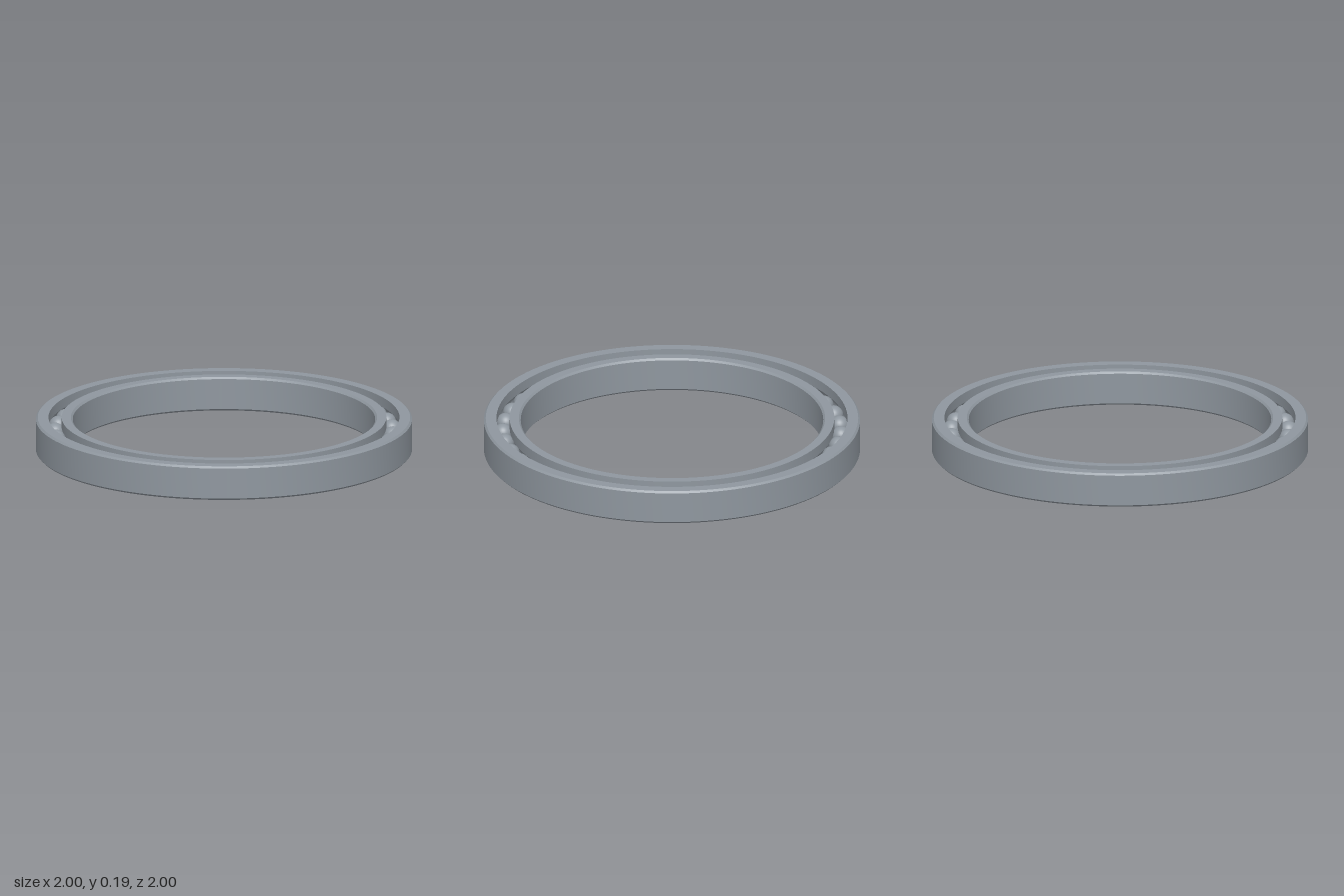
import * as THREE from 'three';
import { toCreasedNormals } from 'three/addons/utils/BufferGeometryUtils.js';

const HEIGHT = 0.185, MID = HEIGHT / 2, BEVEL = 0.01;
const PITCH_R = 0.898, BALL_R = 0.051, BALLS = 40;

// Ring with bevelled plain wall at rPlain and a ball groove in the wall at rRace.
function ringGeometry(rPlain, rRace) {
  const dir = Math.sign(rPlain - rRace); // +1: plain wall faces outwards
  const pts = [
    [rPlain - dir * BEVEL, 0],
    [rPlain, BEVEL],
    [rPlain, HEIGHT - BEVEL],
    [rPlain - dir * BEVEL, HEIGHT],
    [rRace, HEIGHT],
  ];
  // groove arc, concentric with the balls
  const grooveR = BALL_R + 0.001;
  const a = Math.acos(Math.abs(rRace - PITCH_R) / grooveR);
  for (let i = 0; i <= 12; i++) {
    const t = a - (2 * a * i) / 12;
    pts.push([PITCH_R + dir * grooveR * Math.cos(t), MID + grooveR * Math.sin(t)]);
  }
  pts.push([rRace, 0], pts[0]);
  if (dir < 0) pts.reverse();
  const profile = pts.map(([x, y]) => new THREE.Vector2(x, y));
  return toCreasedNormals(new THREE.LatheGeometry(profile, 128), 0.5);
}

export function createModel() {
  const group = new THREE.Group();
  group.name = 'ballBearing';
  const steel = new THREE.MeshStandardMaterial({ color: 0x8f979f });
  steel.name = 'steel';

  // races
  const outer = new THREE.Mesh(ringGeometry(1, 0.933), steel);
  outer.name = 'outerRing';
  const inner = new THREE.Mesh(ringGeometry(0.804, 0.863), steel);
  inner.name = 'innerRing';
  group.add(outer, inner);

  // balls
  const balls = new THREE.Group();
  balls.name = 'balls';
  const ballGeo = new THREE.SphereGeometry(BALL_R, 32, 20);
  for (let i = 0; i < BALLS; i++) {
    const a = 0.053 + (i / BALLS) * Math.PI * 2;
    const ball = new THREE.Mesh(ballGeo, steel);
    ball.name = 'ball';
    ball.position.set(PITCH_R * Math.sin(a), MID, -PITCH_R * Math.cos(a));
    balls.add(ball);
  }
  group.add(balls);
  return group;
}
